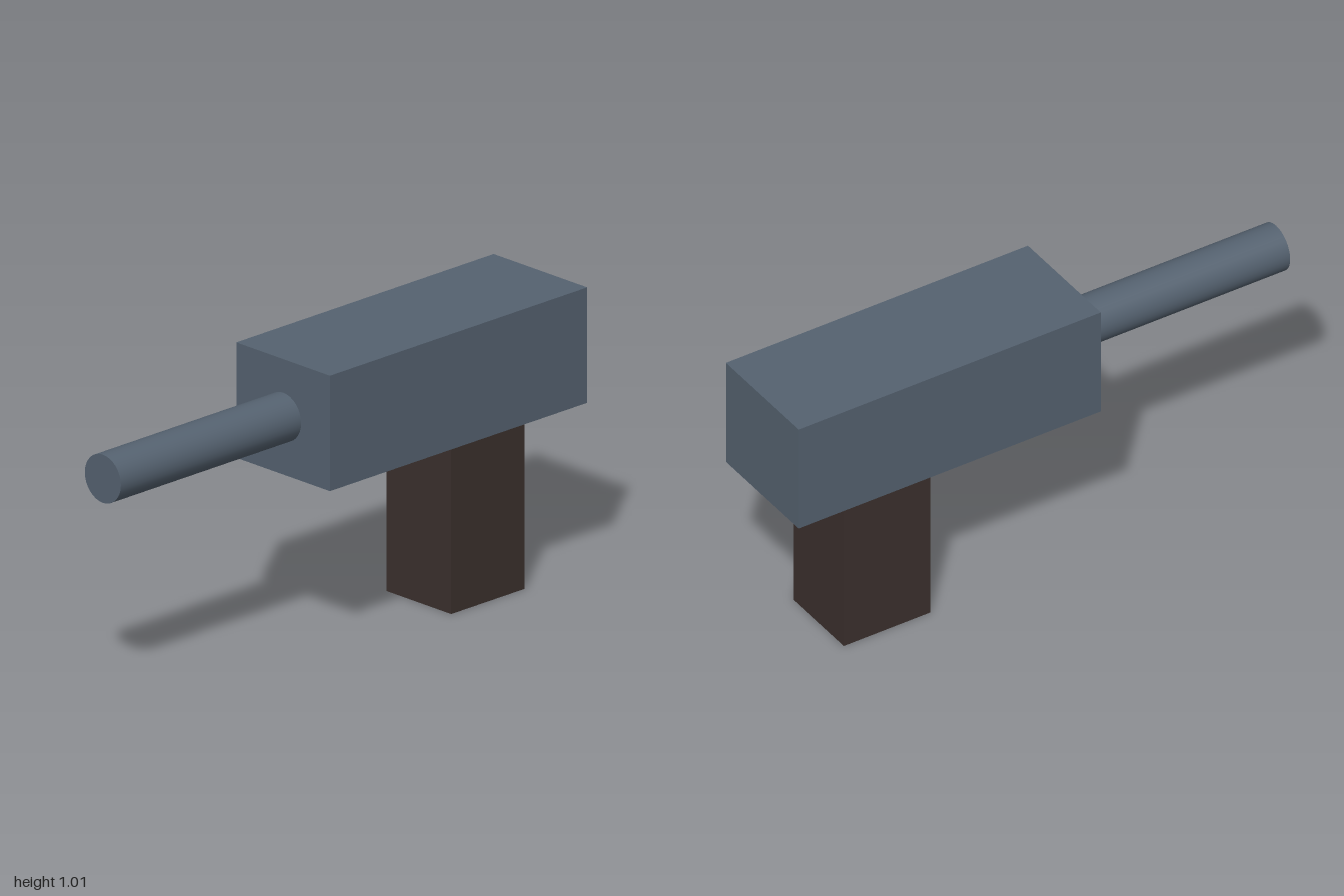
import * as THREE from 'three';

export function createModel() {
  const model = new THREE.Group();
  const metal = new THREE.MeshStandardMaterial({ color: 0x556270 });
  const dark = new THREE.MeshStandardMaterial({ color: 0x3b302d });

  const add = (name, geometry, material, y, z) => {
    const mesh = new THREE.Mesh(geometry, material);
    mesh.name = name;
    mesh.position.set(0, y, z);
    model.add(mesh);
  };

  // Rectangular main housing
  add('body', new THREE.BoxGeometry(0.436, 0.402, 1.176), metal, 0.809, -0.412);

  // Upright handle below the rear of the body
  add('grip', new THREE.BoxGeometry(0.302, 0.608, 0.336), dark, 0.304, -0.612);

  // Round bar running forward from the body
  const barrel = new THREE.CylinderGeometry(0.084, 0.084, 0.824, 32).rotateX(Math.PI / 2);
  add('barrel', barrel, metal, 0.809, 0.588);

  return model;
}
